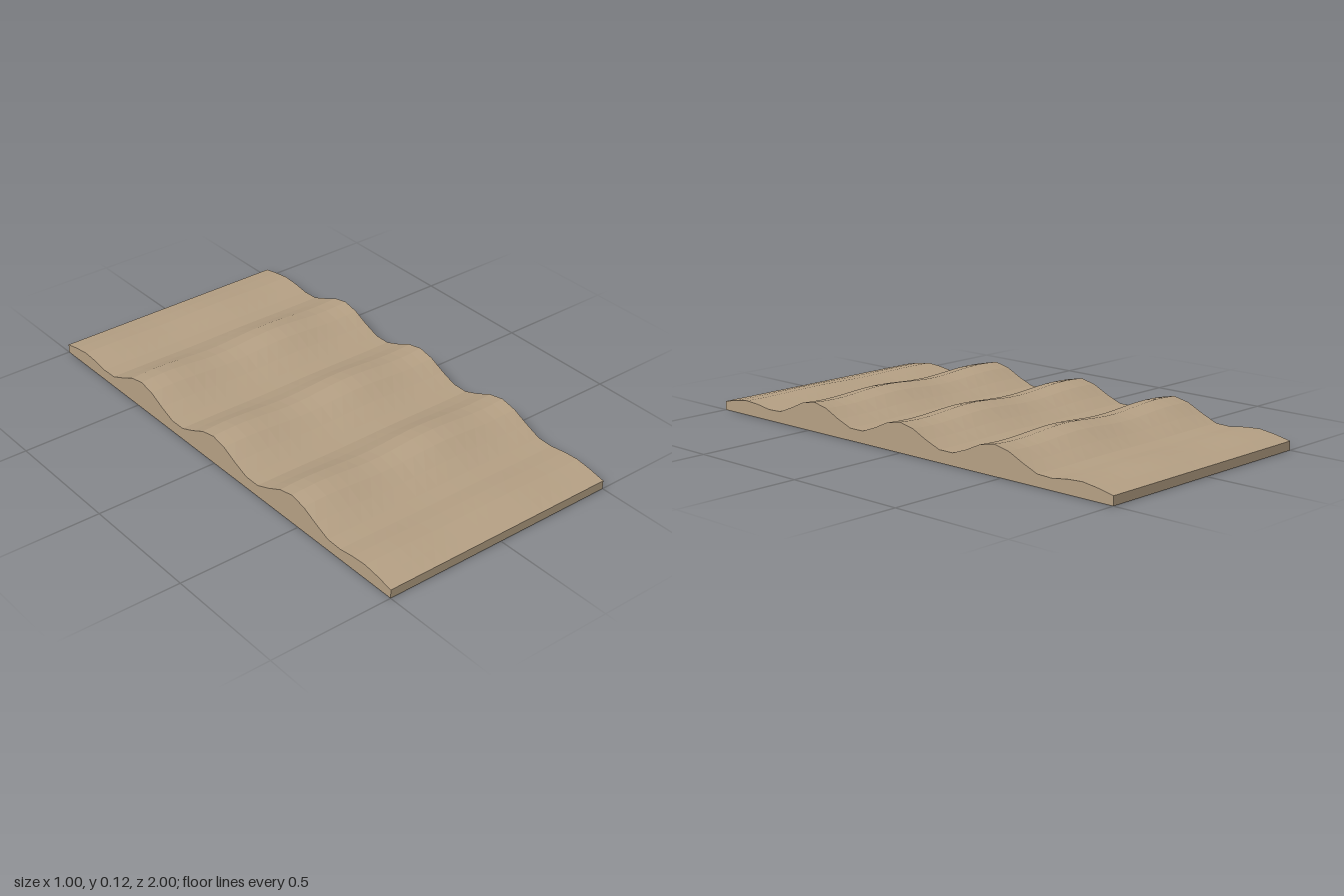
import * as THREE from 'three';

const RIM = 0.035;    // height of the flat end edges
const CREST = 0.0825; // mean ridge height above the rim
const FADE = 0.4;     // length over which ridges die out at each end

// Height of the rippled top at a point
function height(x, z) {
  const fade = Math.min(1, (1 - Math.abs(z)) / FADE);
  const ripple = 0.56 + 0.44 * Math.cos((2 * Math.PI * z) / 0.467);
  return RIM + CREST * fade * ripple * (1 + 0.09 * Math.sin(12 * x));
}

export function createModel() {
  const group = new THREE.Group();
  group.name = 'rippledGround';

  const sand = new THREE.MeshStandardMaterial({ color: 0xb5a084, flatShading: true });
  sand.name = 'sand';

  // Solid slab whose upper vertices follow the ripples
  const slab = new THREE.BoxGeometry(1, 1, 2, 20, 1, 30);
  const pos = slab.attributes.position;
  for (let i = 0; i < pos.count; i++) {
    pos.setY(i, pos.getY(i) > 0 ? height(pos.getX(i), pos.getZ(i)) : 0);
  }
  slab.computeVertexNormals();

  const mesh = new THREE.Mesh(slab, sand);
  mesh.name = 'rippledSlab';
  group.add(mesh);
  return group;
}
